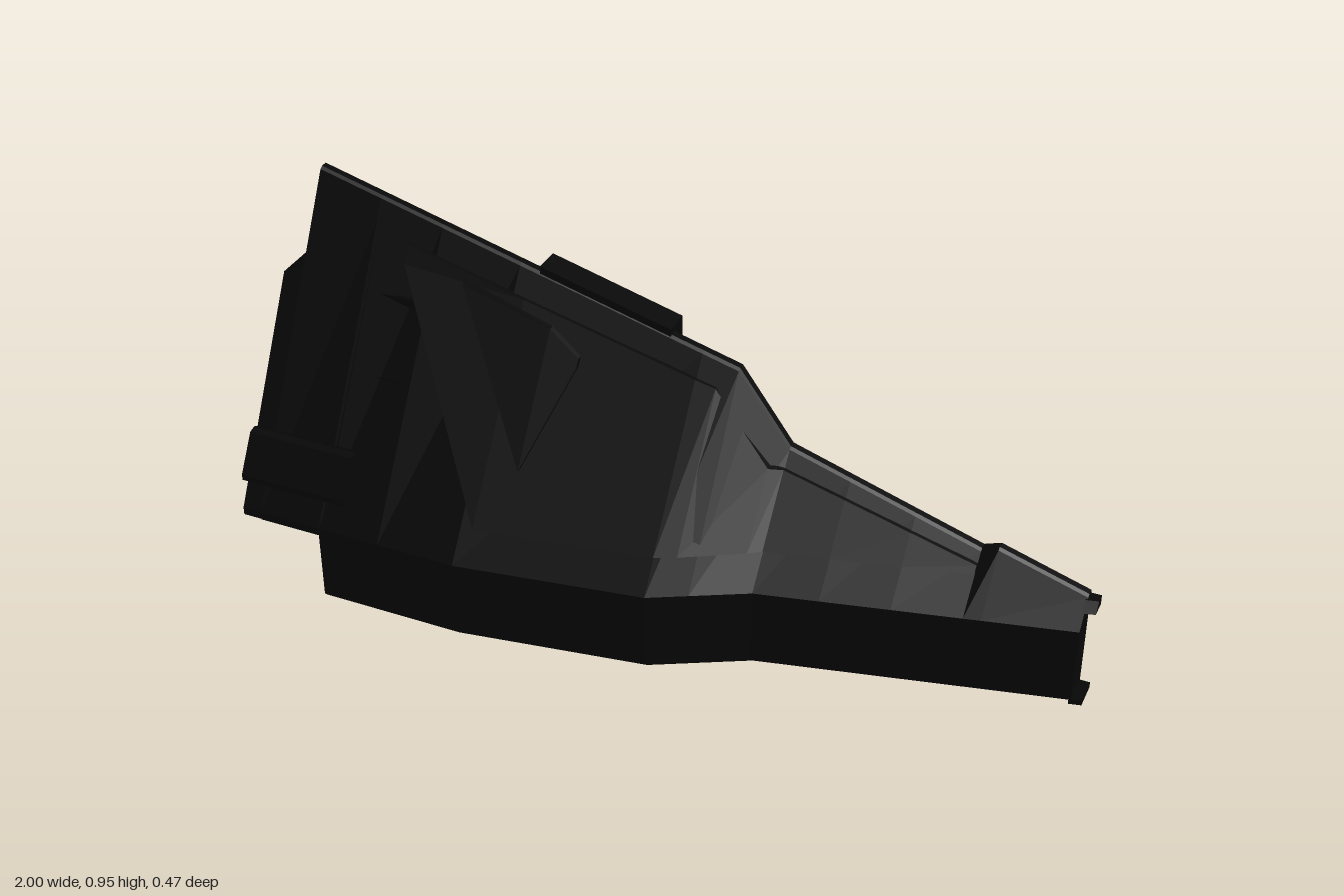
import * as THREE from 'three';

const hullBlack = new THREE.MeshStandardMaterial({ color: 0x060606 });
hullBlack.name = 'hull black';

// Piecewise linear lookup through [x, value] pairs
function lerpTable(table, x) {
  for (let i = 1; i < table.length; i++) {
    const [x0, v0] = table[i - 1], [x1, v1] = table[i];
    if (x <= x1) return v0 + (v1 - v0) * Math.max(0, (x - x0) / (x1 - x0));
  }
  return table[table.length - 1][1];
}

const deckZ = x => lerpTable([[-1, 0.235], [-0.43, 0.235], [0.03, 0.165], [0.25, 0.05], [1, -0.12]], x);
const edgeY = x => lerpTable([[-0.95, 0.95], [0.12, 0.66], [0.25, 0.48], [0.72, 0.33], [0.76, 0.345], [1, 0.27]], x);
const SHOULDER = 0.21, EDGE_Z = -0.165;

// Height of the sloped upper surface
function slopeZ(x, y) {
  const t = Math.max(0, (y - SHOULDER) / (edgeY(x) - SHOULDER));
  return deckZ(x) + (EDGE_Z - deckZ(x)) * t;
}

// Flat-faced solid through [y, z] cross-sections placed along x
function loft(xs, section) {
  const rings = xs.map(x => section(x).map(p => new THREE.Vector2(...p)));
  if (THREE.ShapeUtils.isClockWise(rings[0])) rings.forEach(r => r.reverse());
  const n = rings[0].length, pos = [];
  const put = (k, i) => pos.push(xs[k], rings[k][i % n].x, rings[k][i % n].y);
  for (let k = 0; k < xs.length - 1; k++) {
    for (let i = 0; i < n; i++) {
      put(k, i); put(k, i + 1); put(k + 1, i);
      put(k, i + 1); put(k + 1, i + 1); put(k + 1, i);
    }
  }
  const last = xs.length - 1;
  for (const [a, b, c] of THREE.ShapeUtils.triangulateShape(rings[0], [])) {
    put(0, a); put(0, c); put(0, b);
  }
  for (const [a, b, c] of THREE.ShapeUtils.triangulateShape(rings[last], [])) {
    put(last, a); put(last, b); put(last, c);
  }
  const g = new THREE.BufferGeometry();
  g.setAttribute('position', new THREE.Float32BufferAttribute(pos, 3));
  g.computeVertexNormals();
  return g;
}

const rect = (y0, y1, z0, z1) => [[y0, z0], [y1, z0], [y1, z1], [y0, z1]];

// Upper outline shared by the hull sections, from centre line to wing edge
const hullTop = x => [
  [0, -0.195], [0, deckZ(x) - 0.015], [0.015, deckZ(x)], [SHOULDER, deckZ(x)],
  [edgeY(x) - 0.005, EDGE_Z], [edgeY(x), EDGE_Z - 0.008], [edgeY(x), -0.19]];

// Raised patch following the slope between two y limits
const slopePatch = (x, lo, hi, raise) => [
  [lo, slopeZ(x, lo) - 0.03], [lo, slopeZ(x, lo) + raise],
  [hi, slopeZ(x, hi) + raise], [hi, slopeZ(x, hi) - 0.03]];

export function createModel() {
  const group = new THREE.Group();
  const add = (name, geometry) => {
    const mesh = new THREE.Mesh(geometry, hullBlack);
    mesh.name = name;
    group.add(mesh);
    return mesh;
  };

  // Main hull, and its rear part with the engine bay cut into the underside
  add('hull', loft([-0.63, -0.43, 0.03, 0.12, 0.25, 0.4, 0.56, 0.72, 0.76, 0.975],
    x => [...hullTop(x), [0.2, -0.19]]));
  add('rearHull', loft([-0.79, -0.63],
    x => [...hullTop(x), [0.7, -0.19], [0.68, -0.09], [0.2, -0.09], [0.2, -0.195]]));

  // Flanges around the recessed nose face
  for (const [lo, hi] of [[0, 0.015], [0.245, 0.27]]) {
    add('noseFlange', loft([0.97, 1], x => [
      [lo, -0.19], [hi, -0.19], [hi, Math.min(slopeZ(x, hi), deckZ(x))], [lo, slopeZ(x, lo)]]));
  }

  // Wing tip behind the hull
  add('rearWing', loft([-0.95, -0.78], x => [
    [0.19, 0.13], [0.19, 0.234], [SHOULDER, 0.234], [edgeY(x) - 0.005, EDGE_Z],
    [edgeY(x), -0.173], [edgeY(x), -0.19], [0.73, -0.19], [0.7, -0.1], [0.38, 0.05]]));

  // Sloped skin over the engine bay
  add('rearSkin', loft([-1, -0.94], x => {
    const top = x < -0.95 ? 0.72 : 0.75;
    return [[0.19, 0.2], [0.19, 0.232], [0.21, 0.232], [top, slopeZ(x, top) - 0.004],
      [top, -0.175], [0.66, -0.175], [0.64, -0.06], [0.25, 0.14]];
  }));

  // Engine blocks
  for (const [lo, hi] of [[0.19, 0.33], [0.38, 0.54], [0.58, 0.71]]) {
    add('engineBlock', loft([-1, -0.64], () => rect(lo, hi, -0.175, slopeZ(-0.9, hi) - 0.02)));
  }

  // Round engine
  const engine = add('roundEngine', new THREE.CylinderGeometry(0.088, 0.088, 0.26, 32));
  engine.rotation.z = Math.PI / 2;
  engine.position.set(-0.87, 0.089, -0.04);

  // Tilted housing on the rear slope
  add('slopeHousing', loft([-1, -0.72], () => [
    [0.38, 0.12], [0.395, 0.15], [0.39, 0.168], [0.3, 0.222], [0.285, 0.222], [0.275, 0.19]]));

  // Large raised panel on the slope
  const panelLow = x => lerpTable([[-0.7, 0.78], [-0.4, 0.29], [0.72, 0.29]], x);
  const panelHigh = x => lerpTable([[-0.7, 0.82], [0.08, 0.62], [0.22, 0.45], [0.72, 0.305]], x);
  add('slopePanel', loft([-0.7, -0.4, 0.03, 0.08, 0.22, 0.25, 0.4, 0.56, 0.72],
    x => slopePatch(x, panelLow(x), panelHigh(x), 0.006)));

  // Angular fairing on the panel, rising toward its front edge
  add('slopeFairing', loft([-0.55, -0.32, -0.24], x => slopePatch(x,
    lerpTable([[-0.55, 0.755], [-0.32, 0.42], [-0.24, 0.63]], x),
    lerpTable([[-0.55, 0.77], [-0.32, 0.7], [-0.24, 0.65]], x),
    lerpTable([[-0.55, 0.006], [-0.32, 0.02]], x))));

  // Thick plate on the underside, with a strip running back beside the engine bay
  const plate = (low, x) => {
    const z = x < -0.85 || x > 0.7 ? -0.191 : -0.235;
    const top = edgeY(x) - (x < 0.2 ? 0.11 : 0.055);
    return [[low, -0.16], [low, z], [top, z], [top + 0.045, -0.19], [top + 0.03, -0.16]];
  };
  add('bellyPlate', loft([-0.63, 0.12, 0.25, 0.65, 0.72, 0.76], x => plate(0.22, x)));
  add('bellyStrip', loft([-0.87, -0.83, -0.63], x => plate(0.7, x)));

  // Cross blocks over the belly channel
  add('bellyBlockFront', loft([0.3, 0.46], () => rect(0, 0.24, -0.23, -0.12)));
  add('bellyBlockRear', loft([0.1, 0.29], () => rect(0, 0.25, -0.236, -0.12)));

  // Pair of blocks on the wing edge
  for (const [x0, x1] of [[-0.38, -0.215], [-0.215, -0.05]]) {
    add('edgeBlock', loft([x0, x1], x => rect(edgeY(x) - 0.12, edgeY(x) + 0.016, -0.236, -0.168)));
  }

  return group;
}
